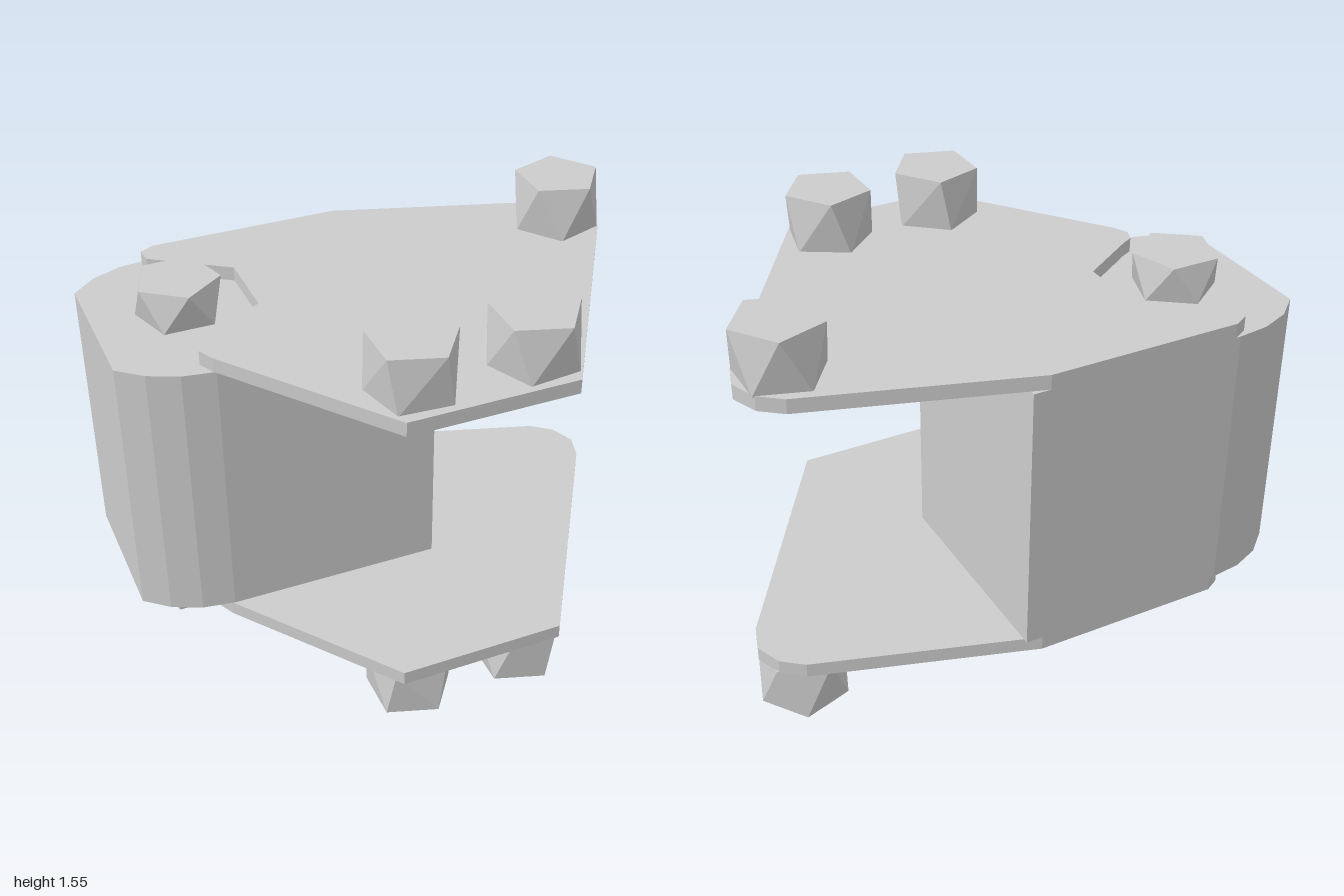
import * as THREE from 'three';
import { ConvexGeometry } from 'three/addons/geometries/ConvexGeometry.js';

const material = new THREE.MeshStandardMaterial({ color: 0xcccccc, flatShading: true });

// Solid with a plan outline of [x, z] points, from height y0 to y1
function slab(outline, y0, y1) {
  const shape = new THREE.Shape(outline.map(([x, z]) => new THREE.Vector2(x, -z)));
  const geometry = new THREE.ExtrudeGeometry(shape, { depth: y1 - y0, bevelEnabled: false });
  return geometry.rotateX(-Math.PI / 2).translate(0, y0, 0);
}

// Five-sided ring of points; angles run from +x towards +z
function ring(x, y, z, radius, degrees) {
  return Array.from({ length: 5 }, (_, i) => {
    const a = THREE.MathUtils.degToRad(degrees + i * 72);
    return new THREE.Vector3(x + radius * Math.cos(a), y, z + radius * Math.sin(a));
  });
}

// Faceted stud: two pentagons, the base twisted against the end
function stud(x, z, baseY, endY, radius, endAngle, baseAngle) {
  return new ConvexGeometry([
    ...ring(x, baseY, z, radius, baseAngle),
    ...ring(x, endY, z, radius, endAngle),
  ]);
}

export function createModel() {
  const model = new THREE.Group();
  const add = (name, geometry) => {
    const mesh = new THREE.Mesh(geometry, material);
    mesh.name = name;
    model.add(mesh);
  };

  // Upright block with two chamfered-round corners on the outer end
  add('block', slab([
    [-1, -0.58], [-0.91, -0.66], [-0.8, -0.705], [-0.68, -0.72], [0.135, -0.72],
    [0.135, 0.13], [-0.68, 0.125], [-0.8, 0.105], [-0.91, 0.055], [-1, -0.02],
  ], 0.255, 1.3));

  // Matching plates with a notch around the pivot
  const plate = [
    [-0.66, -0.72], [0.07, -0.72], [0.88, -0.463], [0.96, -0.4], [1, -0.3], [0.97, -0.2],
    [0.39, 0.72], [-0.24, 0.72], [-0.69, 0.12], [-0.72, 0.06], [-0.7, 0.01], [-0.66, -0.01],
    [-0.43, -0.16], [-0.43, -0.44], [-0.71, -0.63], [-0.715, -0.69],
  ];
  add('topPlate', slab(plate, 1.3, 1.355));
  add('bottomPlate', slab(plate, 0.2, 0.255));

  // Corner studs, mirrored above and below: x, z, base twist
  for (const [x, z, twist] of [[-0.145, 0.55, -14], [0.3, 0.55, -24], [0.835, -0.3, 36]]) {
    add('topStud', stud(x, z, 1.35, 1.555, 0.165, 0, twist));
    add('bottomStud', stud(x, z, 0.205, 0, 0.165, 0, twist));
  }

  // Pivot: stud on top, short neck and wide nut underneath
  add('pivotStud', stud(-0.685, -0.3, 1.3, 1.445, 0.158, 90, 126));
  add('pivotNeck', stud(-0.685, -0.3, 0.26, 0.235, 0.11, -90, -90));
  add('pivotNut', stud(-0.685, -0.3, 0.24, 0.11, 0.2785, -90, -90));

  return model;
}
